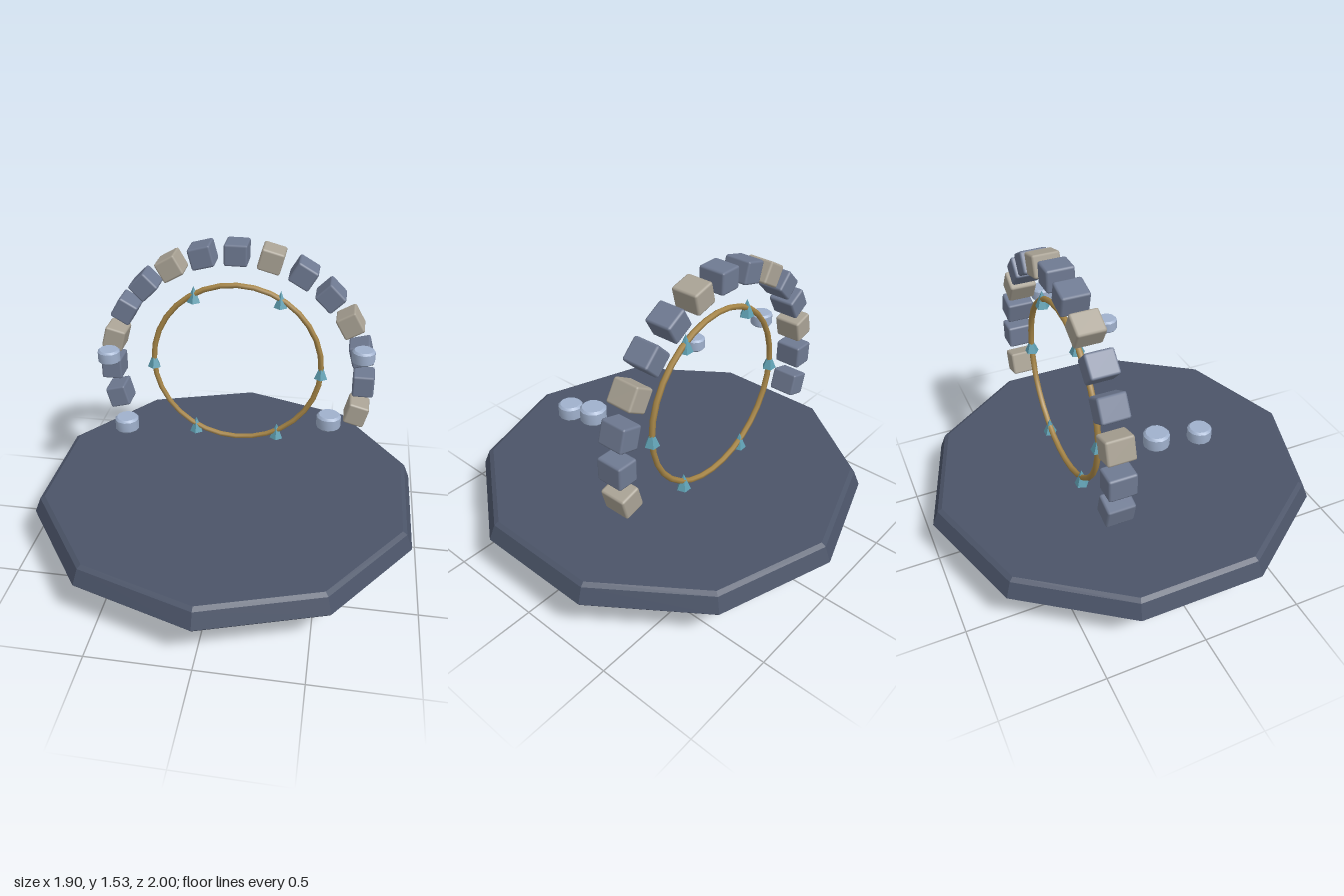
import * as THREE from 'three';
import { toCreasedNormals } from 'three/addons/utils/BufferGeometryUtils.js';
import { RoundedBoxGeometry } from 'three/addons/geometries/RoundedBoxGeometry.js';

const paint = (name, color) => {
  const m = new THREE.MeshStandardMaterial({ color });
  m.name = name;
  return m;
};

// Faceted solid of revolution from [radius, y] pairs, bottom to top
const turned = (profile, sides, crease = 0.2) => toCreasedNormals(
  new THREE.LatheGeometry(profile.map(([r, y]) => new THREE.Vector2(r, y)), sides), crease);

export function createModel() {
  const slate = paint('slate', 0x4b5468);
  const darkSlate = paint('dark slate', 0x464b5b);
  const blueStone = paint('blue stone', 0x6f7a92);
  const paleStone = paint('pale stone', 0xaaa395);
  const gold = paint('gold', 0xa88748);
  const teal = paint('teal', 0x5f9fb2);
  const paleBlue = paint('pale blue', 0xa0b1cd);

  const model = new THREE.Group();
  const add = (name, geometry, material, x = 0, y = 0, z = 0, parent = model) => {
    const mesh = new THREE.Mesh(geometry, material);
    mesh.name = name;
    mesh.position.set(x, y, z);
    parent.add(mesh);
    return mesh;
  };

  // Ten-sided platform: tapered foot under a bevelled slab
  add('platformFoot', turned([[0, 0], [0.655, 0], [0.685, 0.015], [0.9, 0.23], [0, 0.23]], 10), darkSlate);
  add('platformSlab', turned([[0, 0.226], [0.99, 0.226], [1, 0.238], [0.968, 0.315], [0.945, 0.328], [0, 0.328]], 10), slate);

  const gateZ = -0.29;

  // Arch of floating stones, every third one pale
  const arch = new THREE.Group();
  arch.name = 'stoneArch';
  arch.position.set(0, 0.812, gateZ);
  model.add(arch);
  const stone = new RoundedBoxGeometry(0.109, 0.116, 0.136, 1, 0.011);
  for (let i = 0; i < 15; i++) {
    const a = THREE.MathUtils.degToRad(-15 + i * 15);
    const block = add('archStone', stone, i % 3 ? blueStone : paleStone,
      0.66 * Math.cos(a), 0.66 * Math.sin(a), 0, arch);
    block.rotation.z = a;
  }

  // Portal ring with six small upright spikes
  const portal = new THREE.Group();
  portal.name = 'portal';
  portal.position.set(0, 0.857, gateZ);
  model.add(portal);
  add('portalRing', new THREE.TorusGeometry(0.441, 0.0145, 6, 32), gold, 0, 0, 0, portal);
  const spike = toCreasedNormals(new THREE.ConeGeometry(0.036, 0.086, 5), 0.2);
  for (let i = 0; i < 6; i++) {
    const a = i * Math.PI / 3;
    add('portalSpike', spike, teal, 0.441 * Math.cos(a), 0.441 * Math.sin(a), 0, portal);
  }

  // Floating bevelled discs
  const disc = turned([[0, -0.035], [0.047, -0.035], [0.057, -0.025],
    [0.057, 0.025], [0.047, 0.035], [0, 0.035]], 12, 0.6);
  [[-0.626, 0.956, -0.1], [0.646, 1.028, -0.147], [0.504, 0.835, 0.163], [-0.458, 0.762, 0.212]]
    .forEach(([x, y, z]) => add('floatingDisc', disc, paleBlue, x, y, z));

  return model;
}
